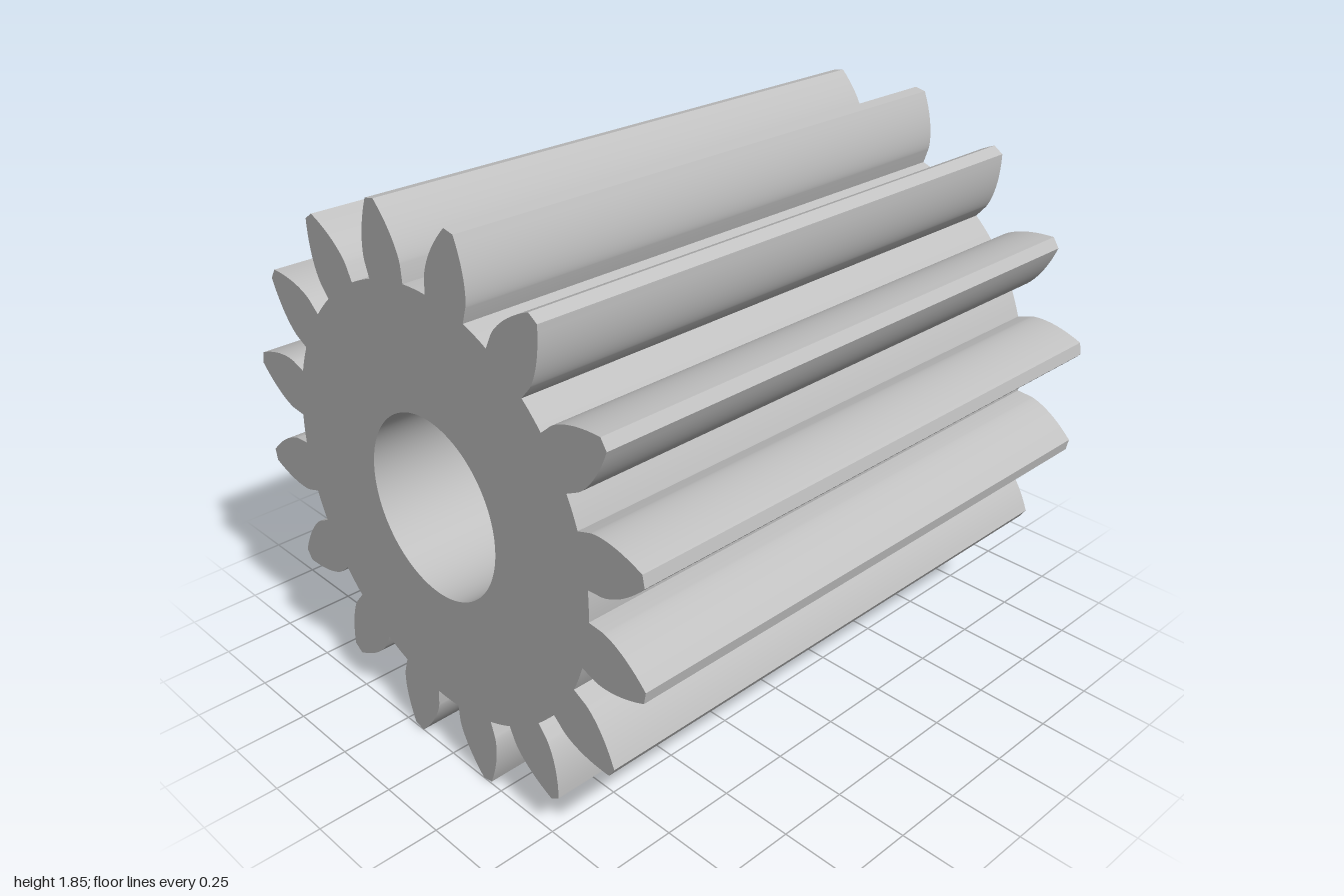
import * as THREE from 'three';
import { toCreasedNormals } from 'three/addons/utils/BufferGeometryUtils.js';

const TEETH = 16;
const LENGTH = 2;
const ROOT = 0.704, BASE = 0.757, TIP = 0.9387, BORE = 0.301;
const CENTER_Y = 0.9245;
const BASE_HALF_ANGLE = THREE.MathUtils.degToRad(7.0);

// Half angle of a tooth at radius r: involute above the base circle, radial below it
function halfAngle(r) {
  if (r <= BASE) return BASE_HALF_ANGLE;
  const phi = Math.acos(BASE / r);
  return BASE_HALF_ANGLE - (Math.tan(phi) - phi);
}

function gearShape() {
  const points = [];
  const add = (r, a) => points.push(new THREE.Vector2(r * Math.cos(a), r * Math.sin(a)));
  const pitch = (Math.PI * 2) / TEETH;

  // Radii along one flank, root to tip
  const radii = [ROOT];
  const steps = 12;
  for (let i = 0; i <= steps; i++) radii.push(BASE + (TIP - BASE) * (i / steps) ** 1.5);

  for (let t = 0; t < TEETH; t++) {
    const mid = (t + 0.5) * pitch;
    for (const r of radii) add(r, mid - halfAngle(r));
    for (const r of [...radii].reverse()) add(r, mid + halfAngle(r));
    // Valley floor up to the next tooth
    const gap = pitch - 2 * halfAngle(ROOT);
    for (let i = 1; i < 4; i++) add(ROOT, mid + halfAngle(ROOT) + (gap * i) / 4);
  }

  const shape = new THREE.Shape(points);
  shape.holes.push(new THREE.Path().absarc(0, 0, BORE, 0, Math.PI * 2, true));
  return shape;
}

export function createModel() {
  const group = new THREE.Group();
  group.name = 'pinionGear';

  const steel = new THREE.MeshStandardMaterial({ color: 0xc0c0c0 });
  steel.name = 'light grey steel';

  // Toothed body with a through bore, its axis along x
  let geometry = new THREE.ExtrudeGeometry(gearShape(), {
    depth: LENGTH, bevelEnabled: false, curveSegments: 48,
  });
  geometry.translate(0, 0, -LENGTH / 2);
  geometry.rotateY(Math.PI / 2);
  geometry = toCreasedNormals(geometry, 0.5);

  const gear = new THREE.Mesh(geometry, steel);
  gear.name = 'toothedBody';
  gear.position.y = CENTER_Y;
  group.add(gear);
  return group;
}
